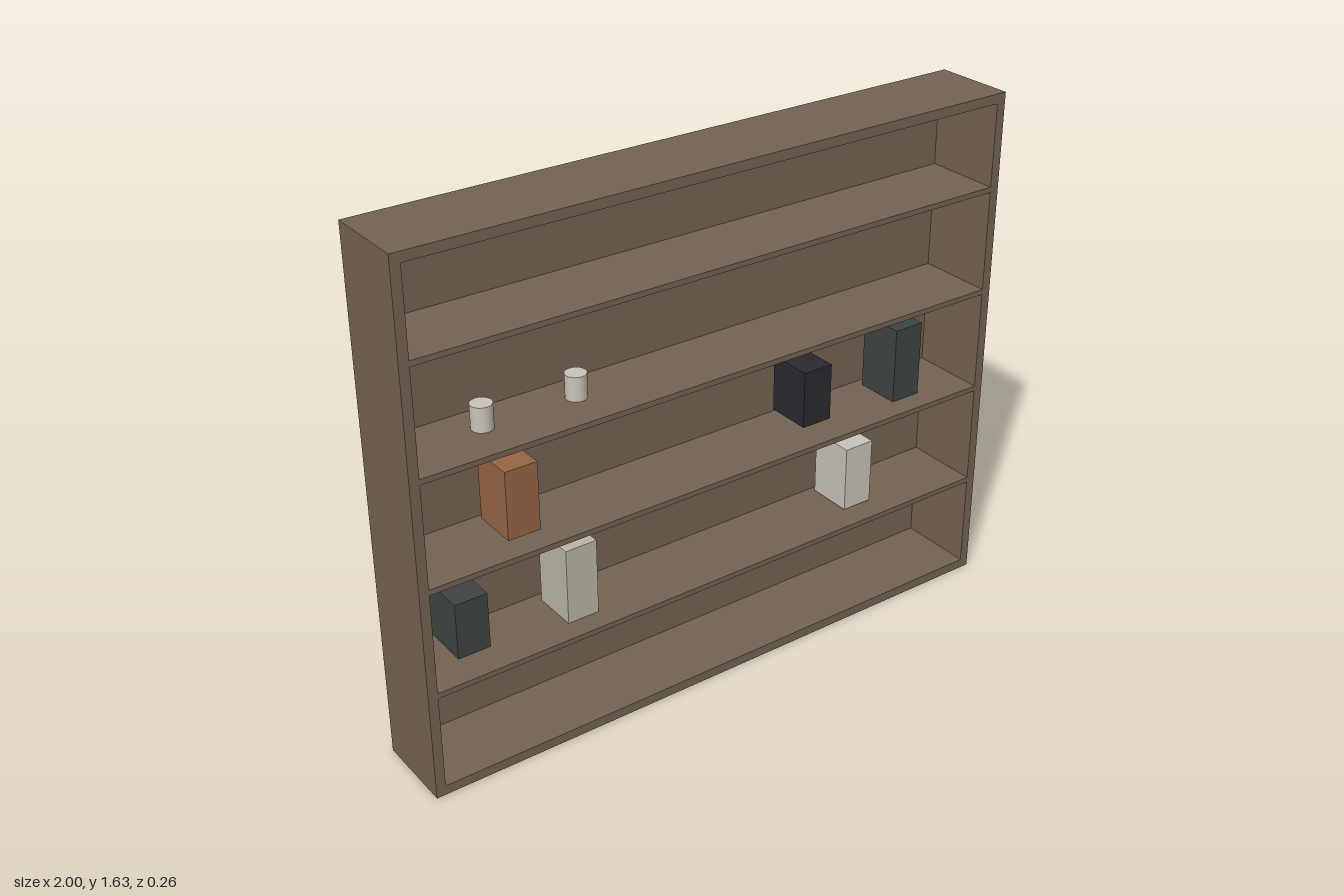
import * as THREE from 'three';

const W = 2, H = 1.635, D = 0.26, BOARD = 0.03, BACK = 0.015, SHELF = 0.017;
const ITEM_Z = -0.012;

const mat = (color) => new THREE.MeshStandardMaterial({ color });
const wood = mat(0x736353);
const copper = mat(0x966545);
const teal = mat(0x3e4543);
const charcoal = mat(0x282a2e);
const cream = mat(0xbbb5a6);
const ivory = mat(0xc8c3b9);

function add(group, name, geometry, material, x, y, z) {
  const mesh = new THREE.Mesh(geometry, material);
  mesh.name = name;
  mesh.position.set(x, y, z);
  group.add(mesh);
  return mesh;
}

// Closed rectangle drawn from two opposite corners
function rect(path, x0, y0, x1, y1) {
  path.moveTo(x0, y0);
  path.lineTo(x1, y0);
  path.lineTo(x1, y1);
  path.lineTo(x0, y1);
  path.closePath();
  return path;
}

export function createModel() {
  const group = new THREE.Group();
  group.name = 'shelfUnit';

  // Outer frame: sides, top and bottom as one hollow rectangle
  const outline = rect(new THREE.Shape(), -W / 2, 0, W / 2, H);
  outline.holes.push(rect(new THREE.Path(), -W / 2 + BOARD, BOARD, W / 2 - BOARD, H - BOARD));
  const frame = new THREE.ExtrudeGeometry(outline, { depth: D - BACK, bevelEnabled: false });
  add(group, 'frame', frame, wood, 0, 0, -D / 2 + BACK);

  // Back panel closing the frame
  add(group, 'backPanel', new THREE.BoxGeometry(W, H, BACK), wood, 0, H / 2, -D / 2 + BACK / 2);

  // Four evenly spaced shelves, flush with the front
  const shelf = new THREE.BoxGeometry(W - 2 * BOARD, SHELF, D - BACK);
  for (let i = 0; i < 4; i++) {
    add(group, `shelf${i + 1}`, shelf, wood, 0, 0.338 + i * 0.3335, BACK / 2);
  }

  // Boxes on the two middle shelves: name, colour, centre x, bottom, top
  const boxes = [
    ['copperBox', copper, -0.638, 0.69, 0.904],
    ['charcoalBox', charcoal, 0.384, 0.706, 0.888],
    ['tallTealBox', teal, 0.74, 0.682, 0.925],
    ['shortTealBox', teal, -0.815, 0.374, 0.551],
    ['creamBox', cream, -0.46, 0.345, 0.588],
    ['ivoryBox', ivory, 0.56, 0.357, 0.57],
  ];
  for (const [name, material, x, y0, y1] of boxes) {
    add(group, name, new THREE.BoxGeometry(0.102, y1 - y0, 0.146), material, x, (y0 + y1) / 2, ITEM_Z);
  }

  // Two small jars sunk through the upper shelf
  const jar = new THREE.CylinderGeometry(0.032, 0.032, 0.146, 20);
  [-0.706, -0.412].forEach((x, i) => add(group, `jar${i + 1}`, jar, ivory, x, 1.015, ITEM_Z));

  return group;
}
